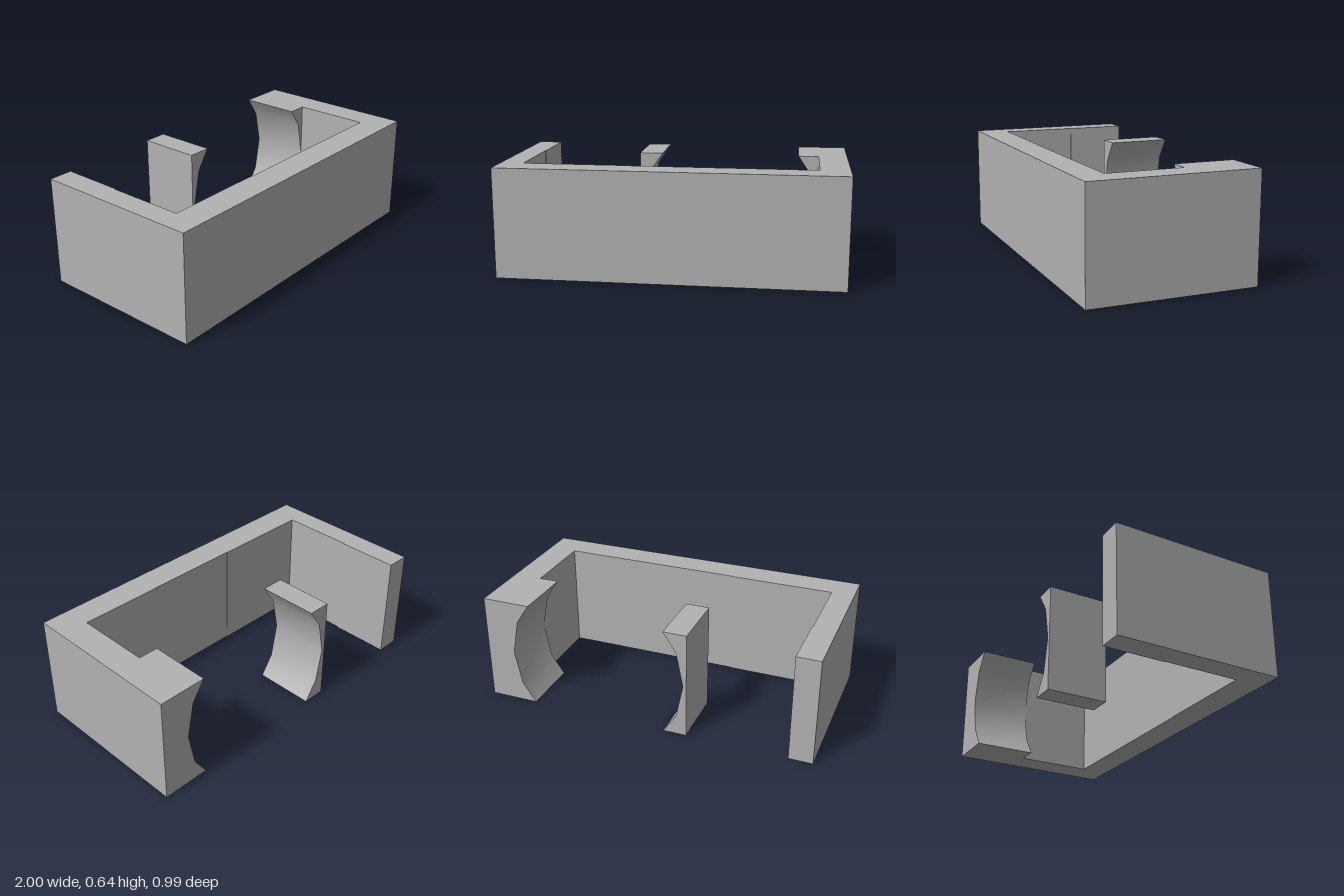
import * as THREE from 'three';
import { toCreasedNormals } from 'three/addons/utils/BufferGeometryUtils.js';

const HEIGHT = 0.645, BACK = -0.495, FRONT = 0.495, PIER_FRONT = -0.13;
const ARCH = { x: 0.295, y: HEIGHT / 2, r: 0.535 };

const shapeOf = (points) => new THREE.Shape(points.map(([x, y]) => new THREE.Vector2(x, y)));

// One side of a 16-sided circular opening, cut off at floor and roof, listed bottom to top
function archEdge(side) {
  const step = Math.PI / 8;
  const half = [0, 1, 2].map((i) => [ARCH.r * Math.cos(i * step), ARCH.r * Math.sin(i * step)]);
  const t = (HEIGHT / 2 - half[1][1]) / (half[2][1] - half[1][1]);
  half[2] = [THREE.MathUtils.lerp(half[1][0], half[2][0], t), HEIGHT / 2];
  const at = ([dx, dy], sign) => [ARCH.x + side * dx, ARCH.y + sign * dy];
  return [at(half[2], -1), at(half[1], -1), at(half[0], 1), at(half[1], 1), at(half[2], 1)];
}

export function createModel() {
  const group = new THREE.Group();
  const grey = new THREE.MeshStandardMaterial({ color: 0xb2b2b2 });
  grey.name = 'wallGrey';

  const add = (name, geometry) => {
    const mesh = new THREE.Mesh(geometry, grey);
    mesh.name = name;
    group.add(mesh);
  };

  // U-shaped wall, from its floor plan (x, z), with slight steps on the inner face
  const plan = [
    [-1, FRONT], [1, FRONT], [1, PIER_FRONT], [0.83, PIER_FRONT], [0.83, 0.325],
    [-0.26, 0.325], [-0.26, 0.321], [-0.865, 0.321], [-0.865, PIER_FRONT],
    [-0.86, PIER_FRONT], [-0.86, BACK], [-1, BACK],
  ];
  const wall = new THREE.ExtrudeGeometry(shapeOf(plan.map(([x, z]) => [x, -z])), {
    depth: HEIGHT, bevelEnabled: false,
  });
  wall.rotateX(-Math.PI / 2);
  add('outerWall', wall);

  // Piers on either side of the round opening, with smooth hollow faces
  const addPier = (name, side, outerX) => {
    const shape = shapeOf([[outerX, 0], ...archEdge(side), [outerX, HEIGHT]]);
    const pier = new THREE.ExtrudeGeometry(shape, {
      depth: PIER_FRONT - BACK, bevelEnabled: false,
    });
    pier.translate(0, 0, BACK);
    add(name, toCreasedNormals(pier, 0.5));
  };
  addPier('freeStandingPier', -1, -0.26);
  addPier('cornerPier', 1, 1);

  return group;
}
